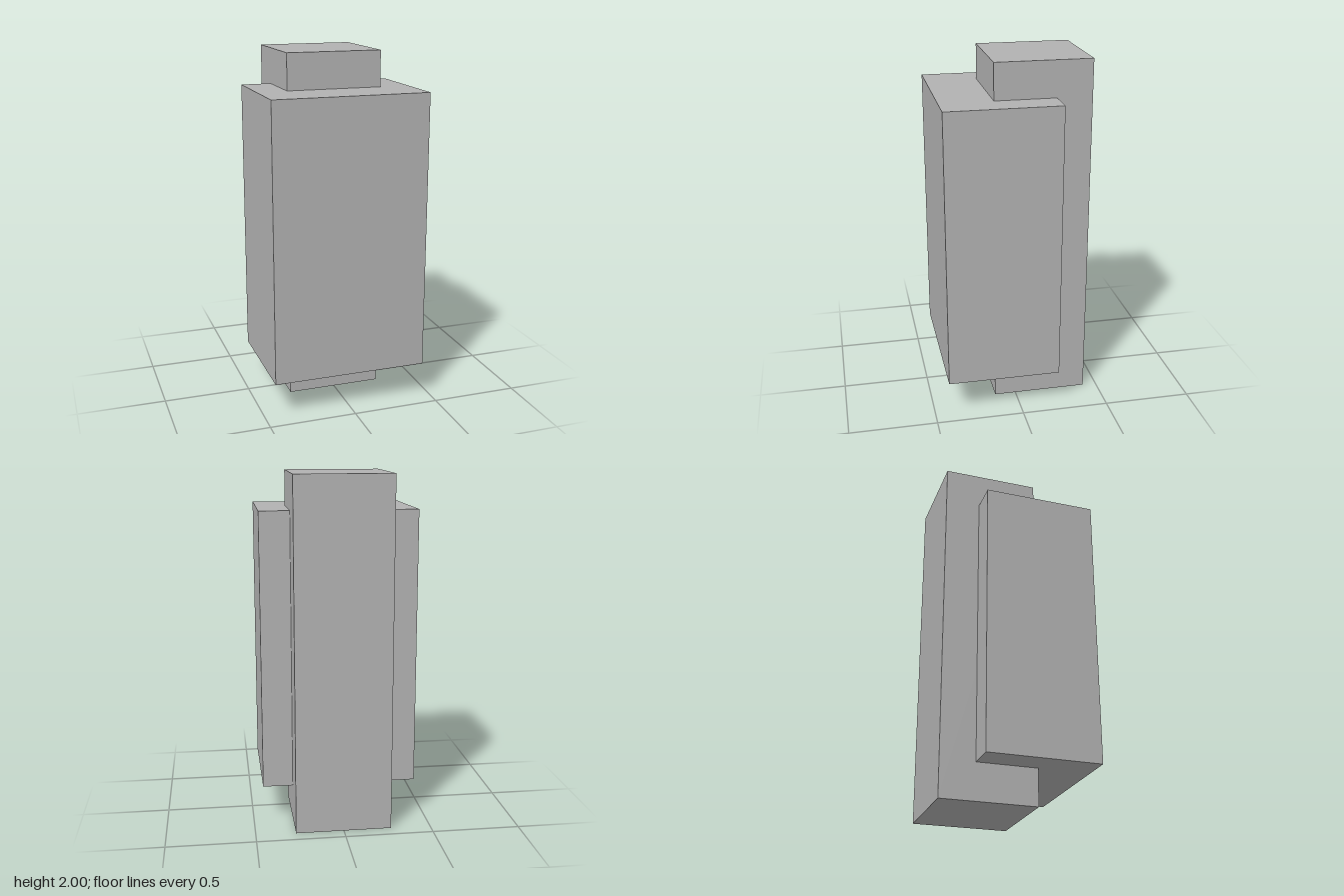
import * as THREE from 'three';

export function createModel() {
  const model = new THREE.Group();
  const grey = new THREE.MeshStandardMaterial({ color: 0xb2b2b2 });
  grey.name = 'grey';

  // Box given by its size and centre
  function addBox(name, [w, h, d], [x, y, z]) {
    const mesh = new THREE.Mesh(new THREE.BoxGeometry(w, h, d), grey);
    mesh.name = name;
    mesh.position.set(x, y, z);
    model.add(mesh);
  }

  // Tall square post at the rear
  addBox('post', [0.545, 2, 0.543], [0, 1, -0.149]);
  // Wide block wrapped around the front of the post
  addBox('frontBlock', [0.888, 1.585, 0.643], [0, 1.0025, 0.099]);

  return model;
}
